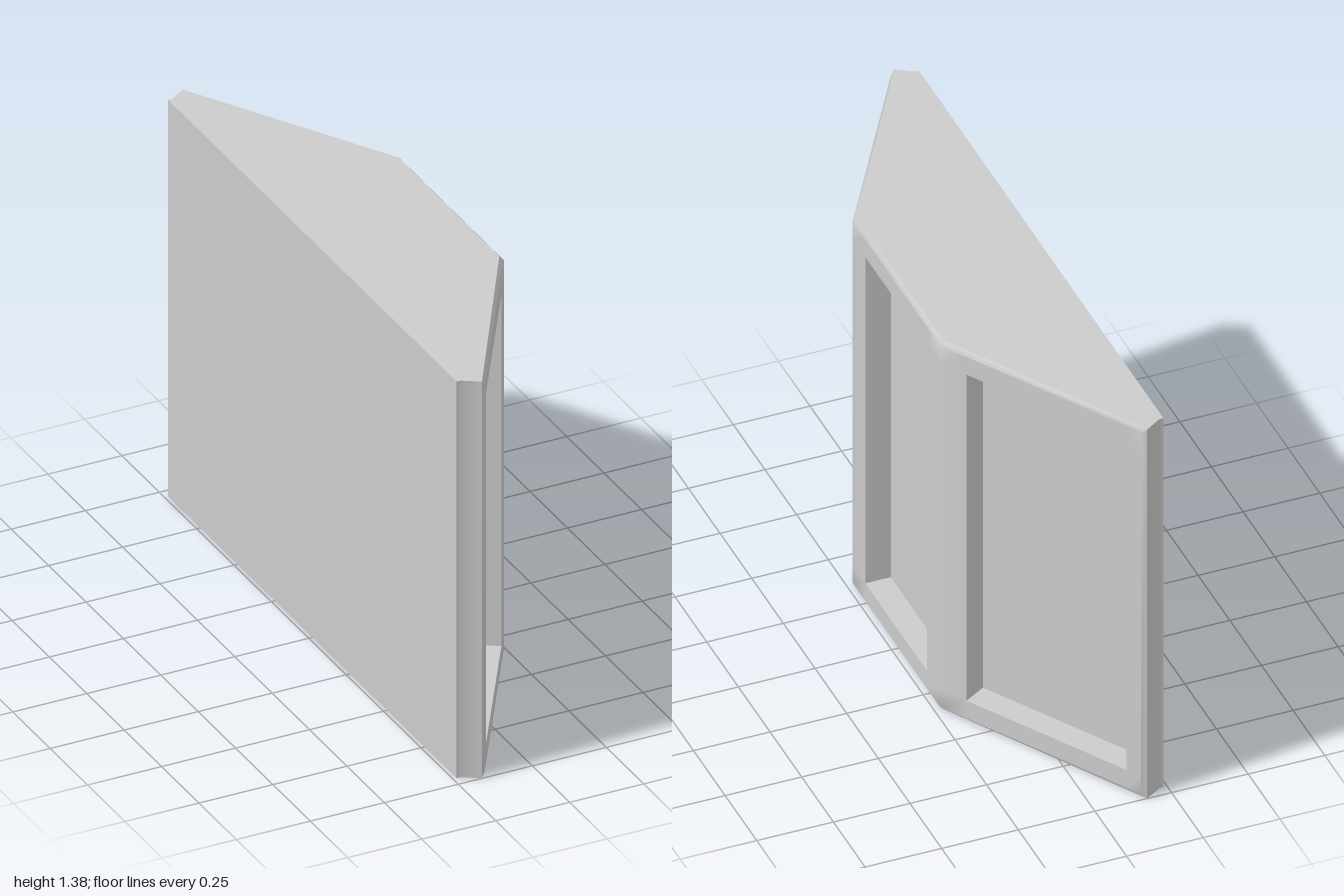
import * as THREE from 'three';
import { toCreasedNormals } from 'three/addons/utils/BufferGeometryUtils.js';

const H = 1.375, BEVEL = 0.014;      // overall height, rim bevel
const SILL = 0.08, HEAD = 1.295;     // bottom and top of the openings
const DEPTH = 0.083;                 // how far the panes sit back

// Plan outline as [x, z], from the +z end round to its mirror image
const mirror = half => [...half, ...half.map(([x, z]) => [x, -z]).reverse()];
const outer = mirror([[-0.238, 0.965], [-0.225, 0.965], [-0.17, 1.0], [-0.155, 0.988], [0.235, 0.345]]);
const rim = mirror([[-0.238, 0.965], [-0.225, 0.965], [-0.17, 1.0], [-0.164, 0.99], [0.223, 0.338]]);

// Openings: outline segment -> start and end as fractions of its length
const openings = { 3: [0.072, 0.868], 4: [0.147, 0.853], 5: [0.132, 0.928] };

// Collects quads, corners counter-clockwise from outside
function quadMesh(name, quads, crease) {
  const pos = [];
  for (const [a, b, c, d] of quads) pos.push(...a, ...b, ...c, ...a, ...c, ...d);
  let geo = new THREE.BufferGeometry();
  geo.setAttribute('position', new THREE.Float32BufferAttribute(pos, 3));
  geo.computeVertexNormals();
  if (crease) geo = toCreasedNormals(geo, crease);
  const mesh = new THREE.Mesh(geo, new THREE.MeshStandardMaterial({ color: 0xcccccc }));
  mesh.name = name;
  return mesh;
}

export function createModel() {
  const group = new THREE.Group();
  group.name = 'bayWindow';
  const at = ([x, z], y) => [x, y, z];
  const lo = BEVEL, hi = H - BEVEL;
  const frame = [], reveals = [], panes = [];

  for (let i = 0; i < outer.length - 1; i++) {
    const P = outer[i], Q = outer[i + 1], p = rim[i], q = rim[i + 1];

    // Bevelled top and bottom rims
    frame.push([at(P, hi), at(Q, hi), at(q, H), at(p, H)]);
    frame.push([at(p, 0), at(q, 0), at(Q, lo), at(P, lo)]);

    const hole = openings[i];
    if (!hole) {
      frame.push([at(P, lo), at(Q, lo), at(Q, hi), at(P, hi)]);
      continue;
    }

    // Point on this face: u along, v up, d inwards
    const dx = Q[0] - P[0], dz = Q[1] - P[1], len = Math.hypot(dx, dz);
    const pt = (u, v, d = 0) => [P[0] + dx * u + dz / len * d, v, P[1] + dz * u - dx / len * d];

    // Frame around the opening
    const us = [0, ...hole, 1], vs = [lo, SILL, HEAD, hi];
    for (let a = 0; a < 3; a++) for (let b = 0; b < 3; b++) {
      if (a === 1 && b === 1) continue;
      frame.push([pt(us[a], vs[b]), pt(us[a + 1], vs[b]), pt(us[a + 1], vs[b + 1]), pt(us[a], vs[b + 1])]);
    }

    // Reveal walls and set-back pane
    const corners = [[hole[0], SILL], [hole[1], SILL], [hole[1], HEAD], [hole[0], HEAD]];
    corners.forEach((c, k) => {
      const n = corners[(k + 1) % 4];
      reveals.push([pt(...c), pt(...n), pt(...n, DEPTH), pt(...c, DEPTH)]);
    });
    panes.push(corners.map(c => pt(...c, DEPTH)));
  }

  // Flat top and bottom, as strips across the plan
  const top = [], bottom = [], last = rim.length - 1;
  for (let i = 0; i < last / 2 - 1; i++) {
    const strip = [rim[i], rim[i + 1], rim[last - 1 - i], rim[last - i]];
    top.push(strip.map(c => at(c, H)));
    bottom.push(strip.map(c => at(c, 0)).reverse());
  }

  // Flat back
  const B = outer[0], A = outer[last];
  const back = [[at(A, 0), at(B, 0), at(B, H), at(A, H)]];

  group.add(quadMesh('frame', frame, 1.1));
  group.add(quadMesh('reveals', reveals));
  panes.forEach((pane, i) => group.add(quadMesh(['leftPane', 'middlePane', 'rightPane'][i], [pane])));
  group.add(quadMesh('top', top), quadMesh('bottom', bottom), quadMesh('back', back));
  return group;
}
